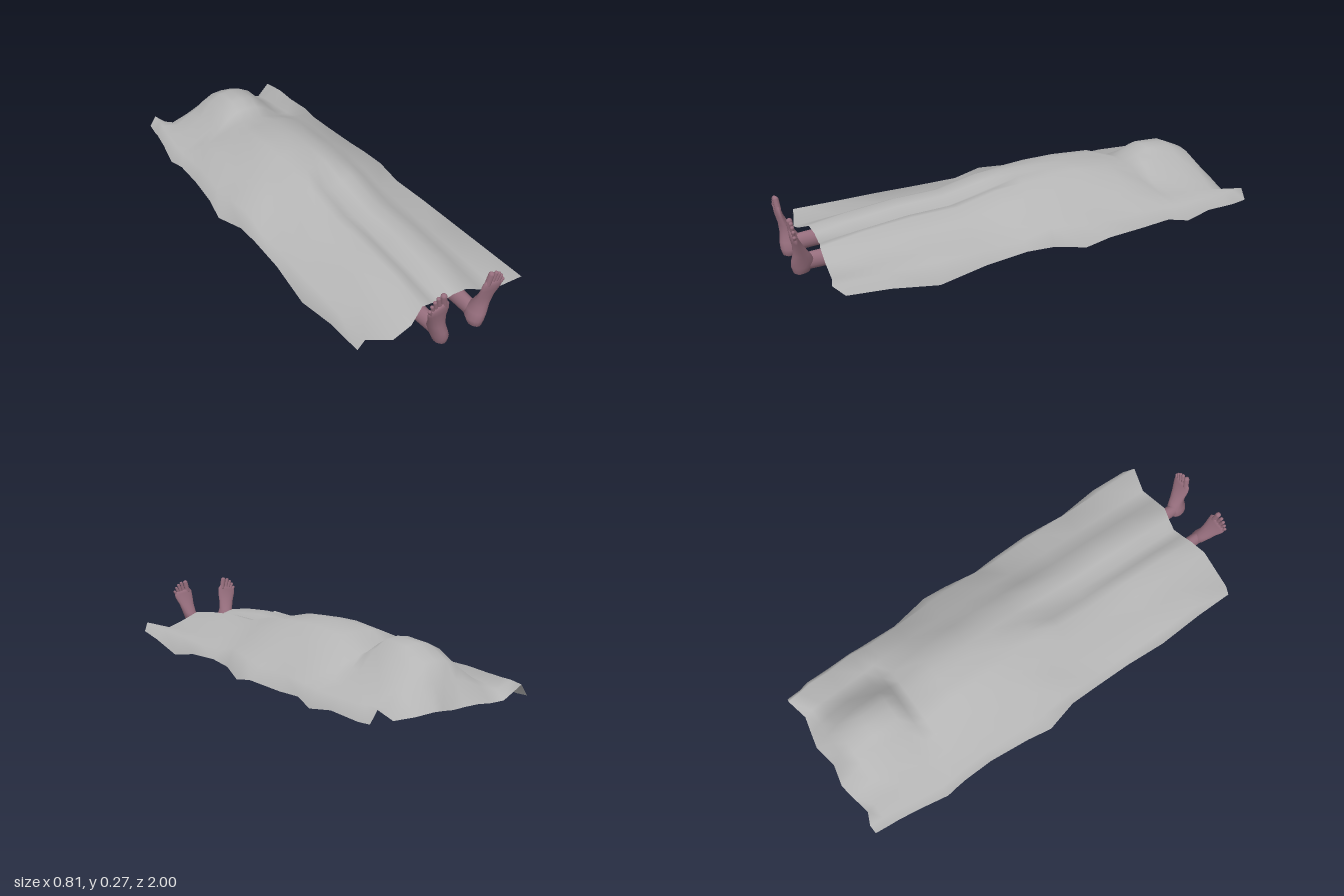
import * as THREE from 'three';

const sheetMat = new THREE.MeshStandardMaterial({ name: 'sheetGrey', color: 0xb5b5b5, side: THREE.DoubleSide });
const skinMat = new THREE.MeshStandardMaterial({ name: 'skinMauve', color: 0x966e7d, side: THREE.DoubleSide });

// Joins equal-length rows of points into one smooth surface
function loft(rows, closed, capEnds) {
  const n = rows[0].length, pos = rows.flat(2), idx = [];
  for (let i = 0; i < rows.length - 1; i++) {
    for (let j = 0; j < (closed ? n : n - 1); j++) {
      const k = (j + 1) % n, a = i * n + j, b = i * n + k, c = a + n, d = b + n;
      idx.push(a, c, b, b, c, d);
    }
  }
  if (capEnds) {
    for (const r of [0, rows.length - 1]) {
      const o = r * n;
      for (let j = 1; j < n - 1; j++) {
        if (r) idx.push(o, o + j + 1, o + j);
        else idx.push(o, o + j, o + j + 1);
      }
    }
  }
  const g = new THREE.BufferGeometry();
  g.setAttribute('position', new THREE.Float32BufferAttribute(pos, 3));
  g.setIndex(idx);
  g.computeVertexNormals();
  return g;
}

function mesh(name, geo, mat) {
  const m = new THREE.Mesh(geo, mat);
  m.name = name;
  return m;
}

// Draped cloth: heights from the middle to the side, head end first
const columns = [0, 0.05, 0.1, 0.17, 0.25, 0.34];
const rowZ = [-0.985, -0.93, -0.88, -0.78, -0.66, -0.61, -0.565, -0.43, -0.25, -0.14, 0, 0.12, 0.3, 0.5, 0.7, 0.88];
const heights = [
  [0.033, 0.04, 0.045, 0.035, 0.03, 0.085, 0.04],
  [0.13, 0.128, 0.115, 0.085, 0.06, 0.09, 0.035],
  [0.19, 0.185, 0.16, 0.11, 0.07, 0.088, 0.04],
  [0.236, 0.23, 0.205, 0.13, 0.08, 0.085, 0.04],
  [0.243, 0.236, 0.205, 0.13, 0.09, 0.085, 0.02],
  [0.215, 0.21, 0.185, 0.13, 0.1, 0.085, 0.03],
  [0.175, 0.175, 0.165, 0.14, 0.115, 0.085, 0.04],
  [0.222, 0.222, 0.215, 0.185, 0.135, 0.09, 0.03],
  [0.238, 0.232, 0.228, 0.19, 0.13, 0.09, 0.04],
  [0.238, 0.23, 0.225, 0.195, 0.14, 0.1, 0.02],
  [0.22, 0.222, 0.215, 0.185, 0.125, 0.115, 0.04],
  [0.17, 0.19, 0.205, 0.17, 0.1, 0.085, 0.05],
  [0.13, 0.155, 0.165, 0.135, 0.09, 0.085, 0.04],
  [0.115, 0.15, 0.163, 0.13, 0.08, 0.085, 0],
  [0.1, 0.13, 0.145, 0.11, 0.07, 0.085, 0.04],
  [0.085, 0.105, 0.118, 0.085, 0.055, 0.085, 0.05],
];
const leftEdge = [0.36, 0.365, 0.375, 0.375, 0.387, 0.38, 0.375, 0.375, 0.405, 0.405, 0.375, 0.38, 0.39, 0.388, 0.395, 0.385];
const rightEdge = [0.345, 0.35, 0.355, 0.37, 0.388, 0.383, 0.38, 0.375, 0.395, 0.41, 0.378, 0.38, 0.38, 0.385, 0.383, 0.385];
// Ragged hems, as z shifts from the middle to the side
const headHem = [0.005, -0.005, -0.015, -0.002, 0.015, -0.005, -0.005];
const footHem = {
  '1': [-0.02, -0.013, 0, 0.003, 0.003, 0.03, -0.01],
  '-1': [-0.02, -0.018, -0.01, 0.02, 0.02, -0.008, -0.01],
};

function buildSheet() {
  const rows = rowZ.map((z, i) => {
    const point = (j, s) => {
      const edge = (s > 0 ? leftEdge : rightEdge)[i];
      // The fold line stays just inside the hem
      const x = j === 6 ? edge : j === 5 ? Math.min(0.355, edge - 0.03) : columns[j];
      const hem = i === 0 ? headHem[j] : i === rowZ.length - 1 ? footHem[s][j] : 0;
      return [s * x, heights[i][j], z + hem];
    };
    const row = [];
    for (let j = 6; j > 0; j--) row.push(point(j, -1));
    for (let j = 0; j <= 6; j++) row.push(point(j, 1));
    return row;
  });
  return mesh('sheet', loft(rows, false), sheetMat);
}

// Foot sections going up: y, inner x, outer x, back z, sole z
const footSections = [
  [0.014, 0.074, 0.095, 0.95, 0.975],
  [0.023, 0.058, 0.108, 0.925, 0.988],
  [0.05, 0.051, 0.117, 0.908, 0.995],
  [0.08, 0.06, 0.127, 0.905, 0.995],
  [0.11, 0.071, 0.138, 0.925, 0.988],
  [0.15, 0.075, 0.152, 0.948, 0.988],
  [0.185, 0.075, 0.167, 0.965, 0.995],
  [0.208, 0.078, 0.171, 0.971, 0.997],
  [0.222, 0.09, 0.163, 0.976, 0.994],
];
// Toes: base x, base y, tip x, tip y, radius
const toes = [
  [0.1, 0.215, 0.109, 0.258, 0.012],
  [0.12, 0.212, 0.132, 0.256, 0.008],
  [0.134, 0.207, 0.147, 0.246, 0.0075],
  [0.146, 0.202, 0.159, 0.232, 0.007],
  [0.156, 0.193, 0.168, 0.214, 0.007],
];
// Shin sections going back: z, x, y, half width, half height
const shinSections = [
  [0.955, 0.088, 0.062, 0.024, 0.032],
  [0.91, 0.088, 0.066, 0.026, 0.036],
  [0.85, 0.09, 0.068, 0.029, 0.036],
  [0.78, 0.094, 0.068, 0.035, 0.038],
  [0.7, 0.098, 0.068, 0.04, 0.041],
];
const SIDES = 16;
const ring = (f) => Array.from({ length: SIDES }, (_, k) => {
  const a = (k / SIDES) * Math.PI * 2;
  return f(Math.cos(a), Math.sin(a));
});

function buildFoot(side) {
  const foot = new THREE.Group();
  foot.name = side > 0 ? 'leftFoot' : 'rightFoot';

  const sole = footSections.map(([y, x0, x1, z0, z1], i) => {
    // Toe line slopes down towards the outer side
    const tilt = i > 5 ? (i - 5) * 0.09 : 0;
    return ring((c, s) => {
      const x = (x0 + x1) / 2 + c * (x1 - x0) / 2;
      return [side * x, y - (x - 0.12) * tilt, (z0 + z1) / 2 + s * (z1 - z0) / 2];
    });
  });
  if (side < 0) sole.forEach((r) => r.reverse());
  foot.add(mesh('footBody', loft(sole, true, true), skinMat));

  const shin = shinSections.map(([z, x, y, w, h]) => ring((c, s) => [side * (x + c * w), y + s * h, z]));
  if (side < 0) shin.forEach((r) => r.reverse());
  foot.add(mesh('shin', loft(shin, true), skinMat));

  for (const [x0, y0, x1, y1, r] of toes) {
    const a = new THREE.Vector3(side * x0, y0, 0.984), b = new THREE.Vector3(side * x1, y1, 0.988);
    const dir = b.clone().sub(a);
    const toe = mesh('toe', new THREE.CapsuleGeometry(r, dir.length(), 4, 10), skinMat);
    toe.position.copy(a).add(b).multiplyScalar(0.5);
    toe.quaternion.setFromUnitVectors(new THREE.Vector3(0, 1, 0), dir.normalize());
    foot.add(toe);
  }
  return foot;
}

export function createModel() {
  const model = new THREE.Group();
  model.name = 'coveredFigure';
  model.add(buildSheet(), buildFoot(1), buildFoot(-1));
  return model;
}
